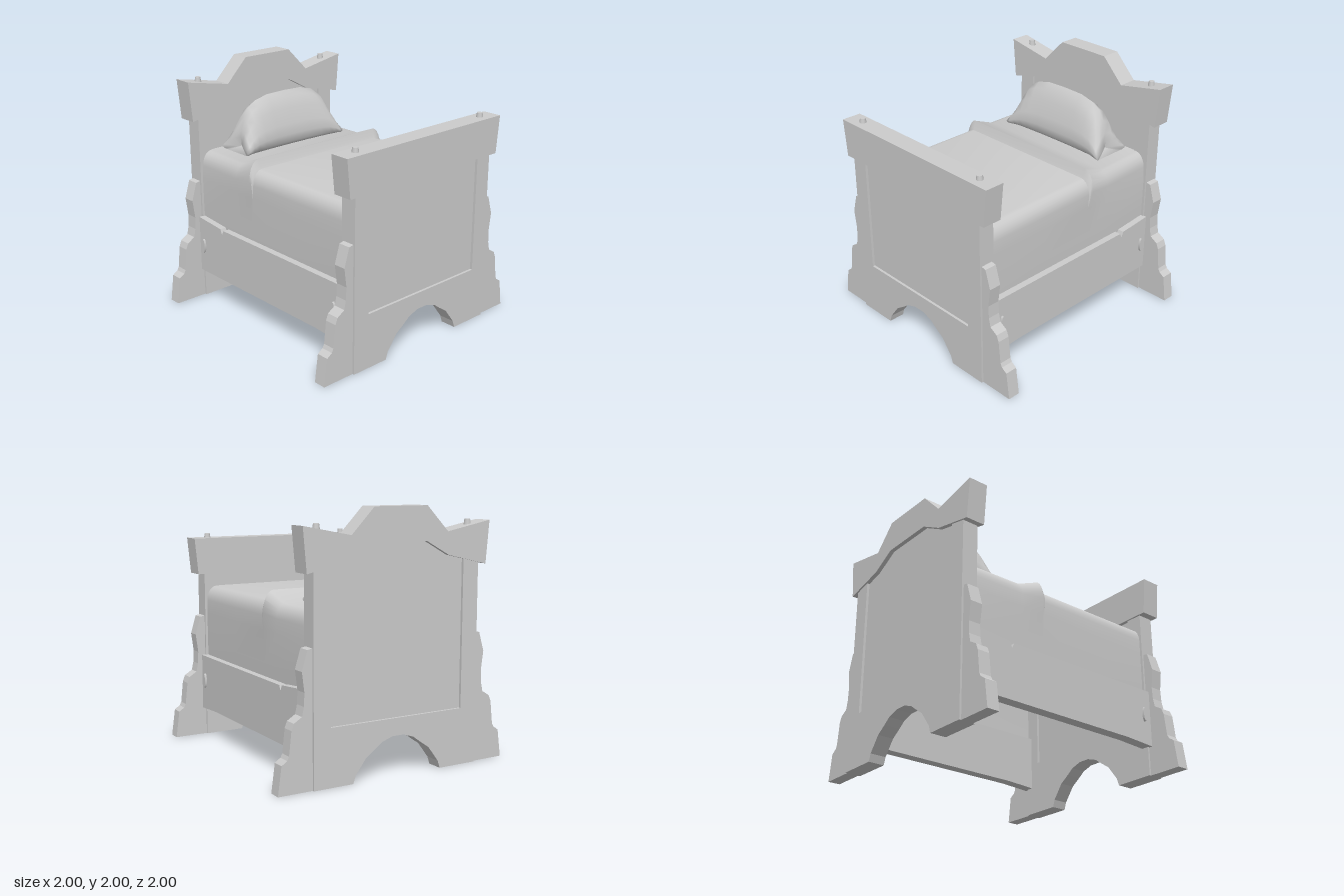
import * as THREE from 'three';
import { toCreasedNormals } from 'three/addons/utils/BufferGeometryUtils.js';

const mat = new THREE.MeshStandardMaterial({ color: 0xcccccc });
const cloth = new THREE.MeshStandardMaterial({ color: 0xcccccc, side: THREE.DoubleSide });

function add(parent, name, geometry, material = mat) {
  const mesh = new THREE.Mesh(geometry, material);
  mesh.name = name;
  parent.add(mesh);
  return mesh;
}

// Flat outline extruded from z0 to z1
function slab(points, z0, z1) {
  const shape = new THREE.Shape(points.map(p => new THREE.Vector2(...p)));
  const g = new THREE.ExtrudeGeometry(shape, { depth: z1 - z0, bevelEnabled: false });
  return g.translate(0, 0, z0);
}

// Right half of an outline (bottom to top) completed by its mirror image
const mirrored = half => [...half, ...half.map(([x, y]) => [-x, y]).reverse()];

// Surface through equal-length rings of [x, y, z]
function loft(rings, closed) {
  const n = rings[0].length, index = [];
  const cols = closed ? n : n - 1;
  for (let i = 0; i < rings.length - 1; i++) {
    for (let j = 0; j < cols; j++) {
      const a = i * n + j, b = i * n + (j + 1) % n;
      index.push(a, a + n, b, b, a + n, b + n);
    }
  }
  const g = new THREE.BufferGeometry();
  g.setAttribute('position', new THREE.Float32BufferAttribute(rings.flat(2), 3));
  g.setIndex(index);
  g.computeVertexNormals();
  return g;
}

const arch = [[0.05, 0.31], [0.14, 0.28], [0.2, 0.235], [0.28, 0.18], [0.37, 0.06], [0.39, 0]];
const wing = [[0.71, 0], [1, 0], [0.97, 0.22], [0.925, 0.25], [0.91, 0.28], [0.89, 0.46],
  [0.87, 0.51], [0.805, 0.55], [0.79, 0.62], [0.785, 0.72], [0.805, 0.87], [0.76, 1.02], [0.71, 1.03]];

// One end of the bed, built around z = 0
function bedEnd(name, postTop, panelTop, cap, pegY) {
  const end = new THREE.Group();
  end.name = name;
  // Posts and arched lower rail in one frame
  add(end, 'frame', slab(mirrored([...arch, [0.72, 0], [0.72, postTop], [0.58, postTop], [0.58, 0.445]]), -0.066, 0.066));
  add(end, 'panel', slab(mirrored([[0.58, 0.44], ...panelTop]), -0.045, 0.045));
  add(end, 'topRail', slab(cap, -0.08, 0.08));
  for (const s of [1, -1]) {
    // Scrolled side brackets
    const outline = wing.map(([x, y]) => [s * x, y]);
    add(end, 'sideBracket', slab(outline, -0.05, 0.05));
    // Pegs through the top rail
    const peg = add(end, 'peg', new THREE.CylinderGeometry(0.022, 0.032, 0.07, 10));
    peg.position.set(s * 0.66, pegY, 0);
  }
  return end;
}

// Side rail with a small nick in its upper edge and two oval pegs
function sideRail(s) {
  const rail = new THREE.Group();
  rail.name = s > 0 ? 'leftRail' : 'rightRail';
  const edge = [[-0.87, 0.23], [-0.6, 0.245], [0.86, 0.245], [0.86, 0.72], [0.57, 0.695],
    [0.55, 0.65], [0.53, 0.69], [-0.87, 0.69]];
  const g = slab(edge, -0.045, 0.045).rotateY(Math.PI / 2);
  g.translate(s * 0.705, 0, 0);
  add(rail, 'board', g);
  for (const z of [0.8, -0.8]) {
    const peg = add(rail, 'railPeg', new THREE.CylinderGeometry(1, 1, 0.04, 14).rotateZ(Math.PI / 2));
    peg.scale.set(1, 0.06, 0.02);
    peg.position.set(s * 0.748, 0.48, z);
  }
  return rail;
}

// Blanket draped over the mattress; lift raises the folded band
function blanket() {
  const section = (z, lift, out) => {
    const half = [[0.69, 0.55, 0], [0.7, 0.8, 0], [0.7, 1.05, 0], [0.7, 1.16, 1]];
    for (let i = 1; i <= 5; i++) {
      const a = i / 5 * Math.PI / 2;
      half.push([0.61 + 0.09 * Math.cos(a), 1.16 + 0.12 * Math.sin(a), 1]);
    }
    const ring = half.map(([x, y, k]) => [x + out * k, y + lift * k * Math.max(0, (y - 1.1) / 0.18), z]);
    return [...ring, ...ring.map(([x, y]) => [-x, y, z]).reverse()];
  };
  const rings = [section(0.86, 0, 0), section(0.3, 0, 0), section(-0.18, 0, 0), section(-0.19, 0.02, 0.012),
    section(-0.21, 0.075, 0.014), section(-0.4, 0, 0), section(-0.86, 0, -0.008)].reverse();
  return toCreasedNormals(loft(rings, false), 0.6);
}

// Pillow: plump wedge section along x, with pinched corners
function pillow() {
  const loop = [[0.12, 0], [0.155, 0.07], [0.168, 0.22], [0.15, 0.42], [0.1, 0.7], [0.055, 0.9], [0, 1],
    [-0.06, 0.91], [-0.11, 0.62], [-0.16, 0.33], [-0.172, 0.2], [-0.15, 0.06], [-0.12, 0]];
  const half = [[0, 0.44, 0.83], [0.18, 0.435, 0.84], [0.3, 0.405, 0.88], [0.38, 0.36, 0.91],
    [0.44, 0.28, 0.95], [0.49, 0.18, 1], [0.52, 0.12, 1]];
  const stations = [...half.slice(1).map(([x, h, w]) => [-x, h, w]).reverse(), ...half];
  const rings = stations.map(([x, h, w]) => loop.map(([z, y]) => {
    const pinch = 1 - 0.12 * Math.pow(Math.abs(x) / 0.52, 6) * (1 - Math.abs(z) / 0.172);
    return [x * pinch, 1.28 + y * h, -0.64 + z * w];
  }));
  // Close both ends on a single sunken point
  const tip = x => loop.map(() => [x, 1.33, -0.64]);
  return loft([tip(-0.45), ...rings, tip(0.45)], true);
}

export function createModel() {
  const bed = new THREE.Group();
  bed.name = 'bed';

  const footCap = [[-0.78, 1.385], [0.78, 1.385], [0.81, 1.685], [-0.81, 1.685]];
  const foot = bedEnd('footboard', 1.42, [[0.58, 1.42]], footCap, 1.685);
  foot.position.z = 0.92;

  const headCap = mirrored([[0.23, 1.74], [0.43, 1.63], [0.78, 1.55], [0.81, 1.88], [0.42, 1.805], [0.23, 2]]);
  const head = bedEnd('headboard', 1.62, [[0.58, 1.64], [0.43, 1.67], [0.23, 1.78]], headCap, 1.855);
  head.position.z = -0.92;

  bed.add(foot, head, sideRail(1), sideRail(-1));
  add(bed, 'blanket', blanket(), cloth);
  add(bed, 'pillow', pillow(), cloth);
  return bed;
}
